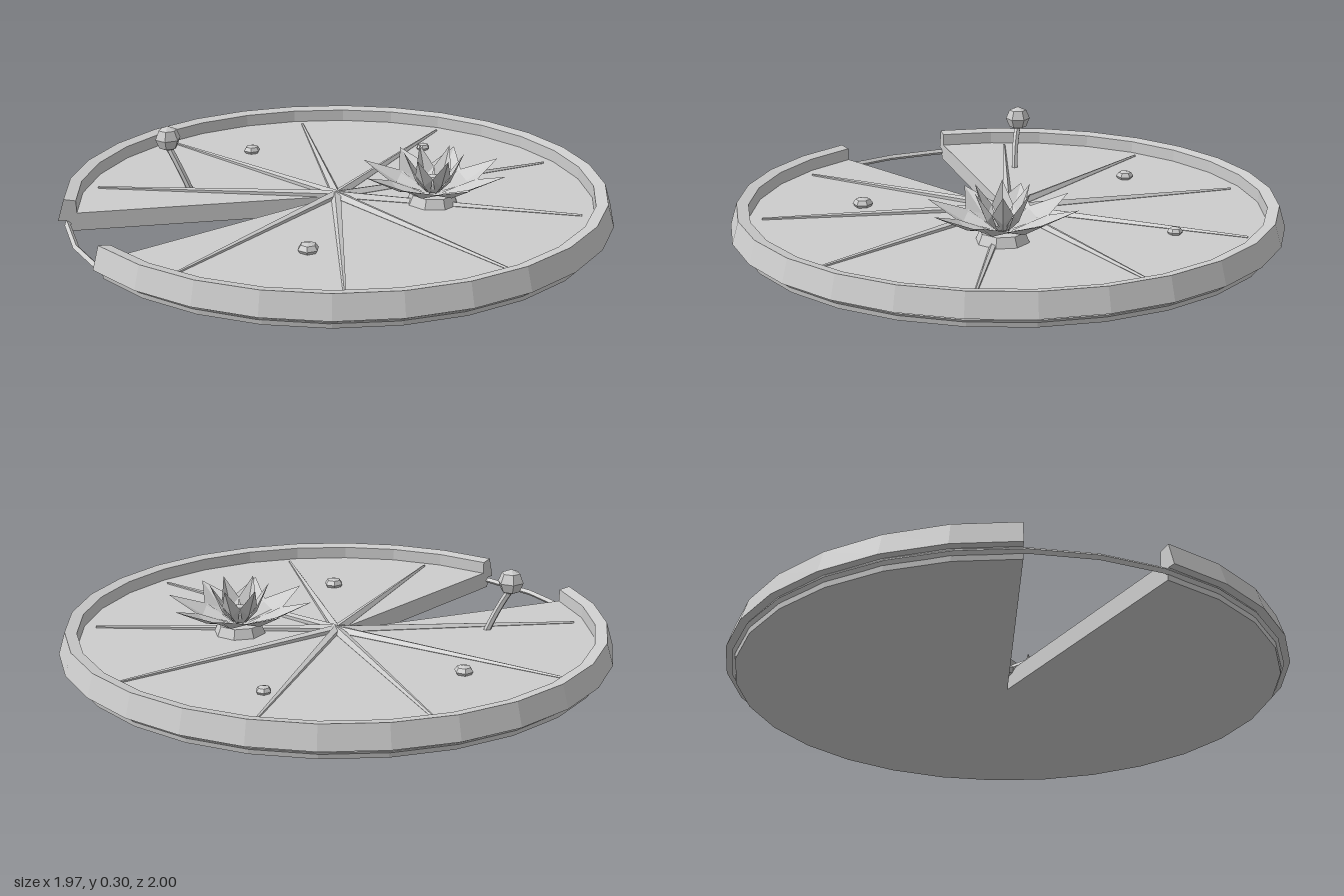
import * as THREE from 'three';

const grey = new THREE.MeshStandardMaterial({ color: 0xcccccc, flatShading: true, side: THREE.DoubleSide });
grey.name = 'pale grey';

const CX = -0.01;          // pad centre
const NOTCH = 0.24;        // half angle of the notch, which opens to -x
const PAD_TOP = 0.066;

function add(parent, geometry, name, x = 0, y = 0, z = 0) {
  const mesh = new THREE.Mesh(geometry, grey);
  mesh.name = name;
  mesh.position.set(x, y, z);
  parent.add(mesh);
  return mesh;
}

// Notched ring: a profile swept around y, closed at both cut ends
function notched(name, profile) {
  const group = new THREE.Group();
  group.name = name;
  const pts = profile.map(([r, y]) => new THREE.Vector2(r, y));
  const start = -Math.PI / 2 + NOTCH, length = Math.PI * 2 - NOTCH * 2;
  add(group, new THREE.LatheGeometry([...pts, pts[0].clone()], 26, start, length), name + 'Body');
  for (const phi of [start, start + length]) {
    const cap = new THREE.ShapeGeometry(new THREE.Shape(pts));
    add(group, cap.rotateY(phi - Math.PI / 2), name + 'CutEnd');
  }
  return group;
}

// Folded petal pointing along +x: base, two raised edges, keel and tip
function petalGeometry(reach, rise, halfWidth, base) {
  const mid = base + (reach - base) * 0.48;
  const geometry = new THREE.BufferGeometry();
  geometry.setAttribute('position', new THREE.Float32BufferAttribute([
    base, 0, 0,
    mid, rise * 0.5, halfWidth,
    mid, rise * 0.5, -halfWidth,
    mid, rise * 0.28, 0,
    reach, rise, 0,
  ], 3));
  geometry.setIndex([0, 1, 3, 3, 1, 4, 0, 3, 2, 3, 4, 2]);
  geometry.computeVertexNormals();
  return geometry;
}

function petalRing(parent, name, count, offset, y, geometry) {
  for (let i = 0; i < count; i++) {
    add(parent, geometry, name, 0, y, 0).rotation.y = offset + (i / count) * Math.PI * 2;
  }
}

export function createModel() {
  const model = new THREE.Group();
  model.name = 'lilyPad';

  // Notched leaf with upturned rim
  const leaf = new THREE.Group();
  leaf.name = 'leaf';
  leaf.position.x = CX;
  model.add(leaf);
  leaf.add(notched('pad', [[0, 0], [0.962, 0], [0.972, PAD_TOP], [0, PAD_TOP]]));
  leaf.add(notched('rim', [[0.93, 0.04], [0.998, 0.04], [0.974, 0.12], [0.932, 0.112]]));
  add(leaf, new THREE.TorusGeometry(0.965, 0.011, 4, 28).rotateX(Math.PI / 2), 'edgeRing', 0, 0.028, 0);

  // Tapered veins fanning out from the hub
  const vein = new THREE.CylinderGeometry(0.005, 0.02, 0.885, 5);
  vein.rotateZ(-Math.PI / 2).translate(0.4425, 0, 0);
  for (let i = -4; i <= 4; i++) {
    add(leaf, vein, 'vein', 0, PAD_TOP + 0.002, 0).rotation.y = i * 0.655;
  }
  const hub = add(leaf, new THREE.SphereGeometry(0.052, 8, 4), 'hub', 0, PAD_TOP, 0);
  hub.scale.y = 0.4;

  // Dew drops
  for (const [x, z, r] of [[-0.11, -0.595, 0.034], [0.53, -0.35, 0.028], [-0.31, 0.44, 0.038]]) {
    add(model, new THREE.SphereGeometry(r, 6, 4), 'dewDrop', x, PAD_TOP + r * 0.3, z).scale.y = 0.6;
  }

  // Open flower
  const flower = new THREE.Group();
  flower.name = 'flower';
  flower.position.set(0.283, 0, 0.195);
  model.add(flower);
  add(flower, new THREE.CylinderGeometry(0.08, 0.095, 0.036, 8), 'flowerBase', 0, PAD_TOP + 0.017, 0);
  petalRing(flower, 'outerPetal', 8, 0, 0.098, petalGeometry(0.265, 0.095, 0.066, 0.02));
  petalRing(flower, 'innerPetal', 6, Math.PI / 6, 0.1, petalGeometry(0.108, 0.15, 0.036, 0.02));
  add(flower, new THREE.SphereGeometry(0.036, 8, 5), 'flowerCentre', 0, 0.135, 0);

  // Closed bud on a bent stem
  const bud = new THREE.Group();
  bud.name = 'bud';
  model.add(bud);
  const path = new THREE.QuadraticBezierCurve3(
    new THREE.Vector3(-0.465, 0.055, -0.305),
    new THREE.Vector3(-0.5, 0.15, -0.325),
    new THREE.Vector3(-0.528, 0.22, -0.358));
  add(bud, new THREE.TubeGeometry(path, 6, 0.013, 6), 'budStem');
  add(bud, new THREE.SphereGeometry(0.048, 6, 4), 'budHead', -0.528, 0.25, -0.358);

  return model;
}
